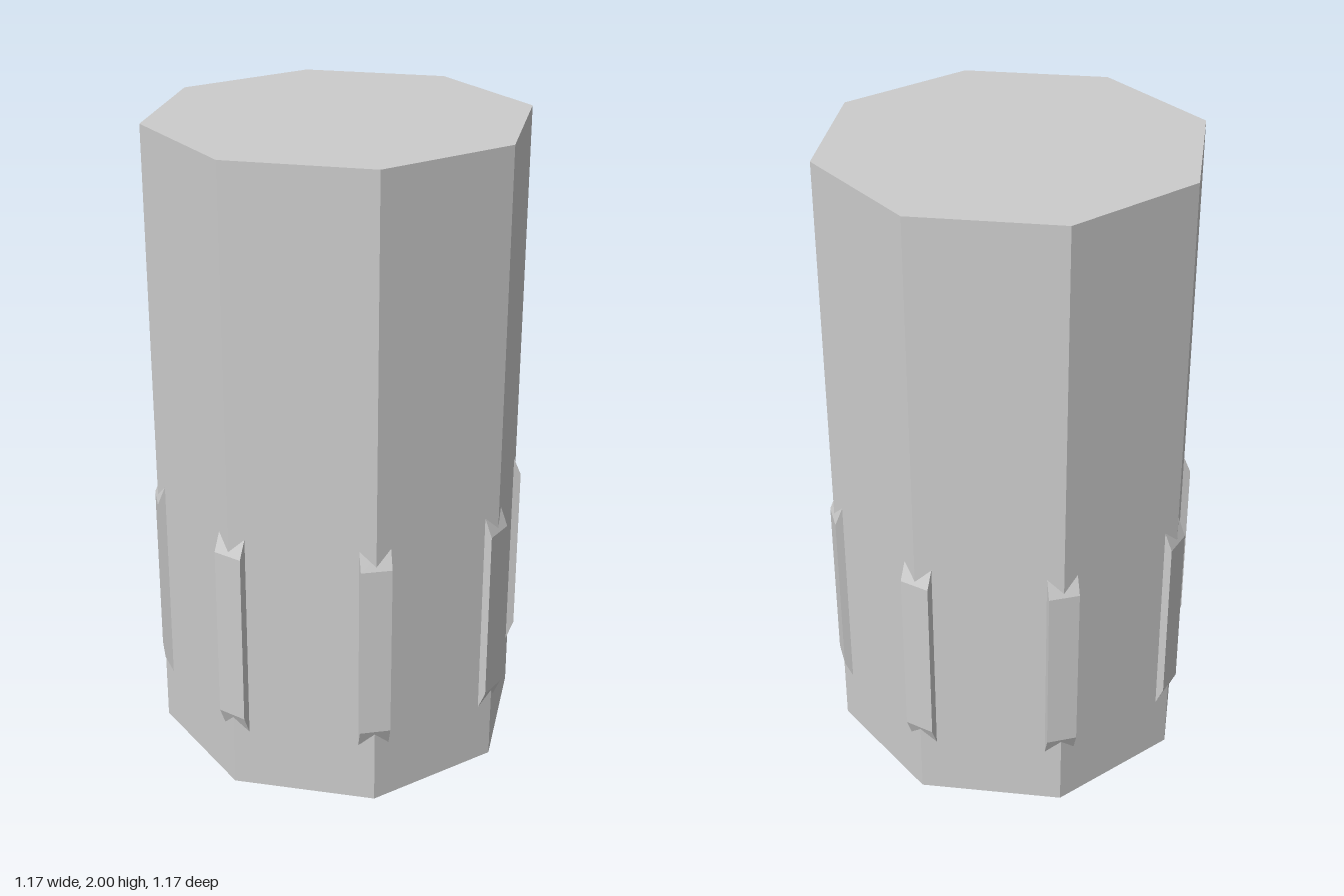
import * as THREE from 'three';

const SIDES = 8;
const BODY_R = 0.58;
const RIB_R = 0.585;
const RIB_W = 0.094;

export function createModel() {
  const model = new THREE.Group();
  model.name = 'ribbedColumn';
  const material = new THREE.MeshStandardMaterial({ color: 0xcccccc, flatShading: true });

  // Octagonal column with its corners on the axes
  const body = new THREE.Mesh(new THREE.CylinderGeometry(BODY_R, BODY_R, 2, SIDES), material);
  body.name = 'column';
  body.position.y = 1;
  model.add(body);

  // Rib profile (x = distance from the axis): flat outer face, ends sloping into the column
  const profile = new THREE.Shape([
    [0.55, 0.166], [RIB_R, 0.25], [RIB_R, 0.805], [0.55, 0.889],
  ].map(([x, y]) => new THREE.Vector2(x, y)));
  const ribGeometry = new THREE.ExtrudeGeometry(profile, { depth: RIB_W, bevelEnabled: false });
  ribGeometry.translate(0, 0, -RIB_W / 2);

  // One rib over each corner of the column
  const ribs = new THREE.Group();
  ribs.name = 'ribs';
  for (let i = 0; i < SIDES; i++) {
    const rib = new THREE.Mesh(ribGeometry, material);
    rib.name = `rib${i + 1}`;
    rib.rotation.y = (i / SIDES) * Math.PI * 2;
    ribs.add(rib);
  }
  model.add(ribs);
  return model;
}
